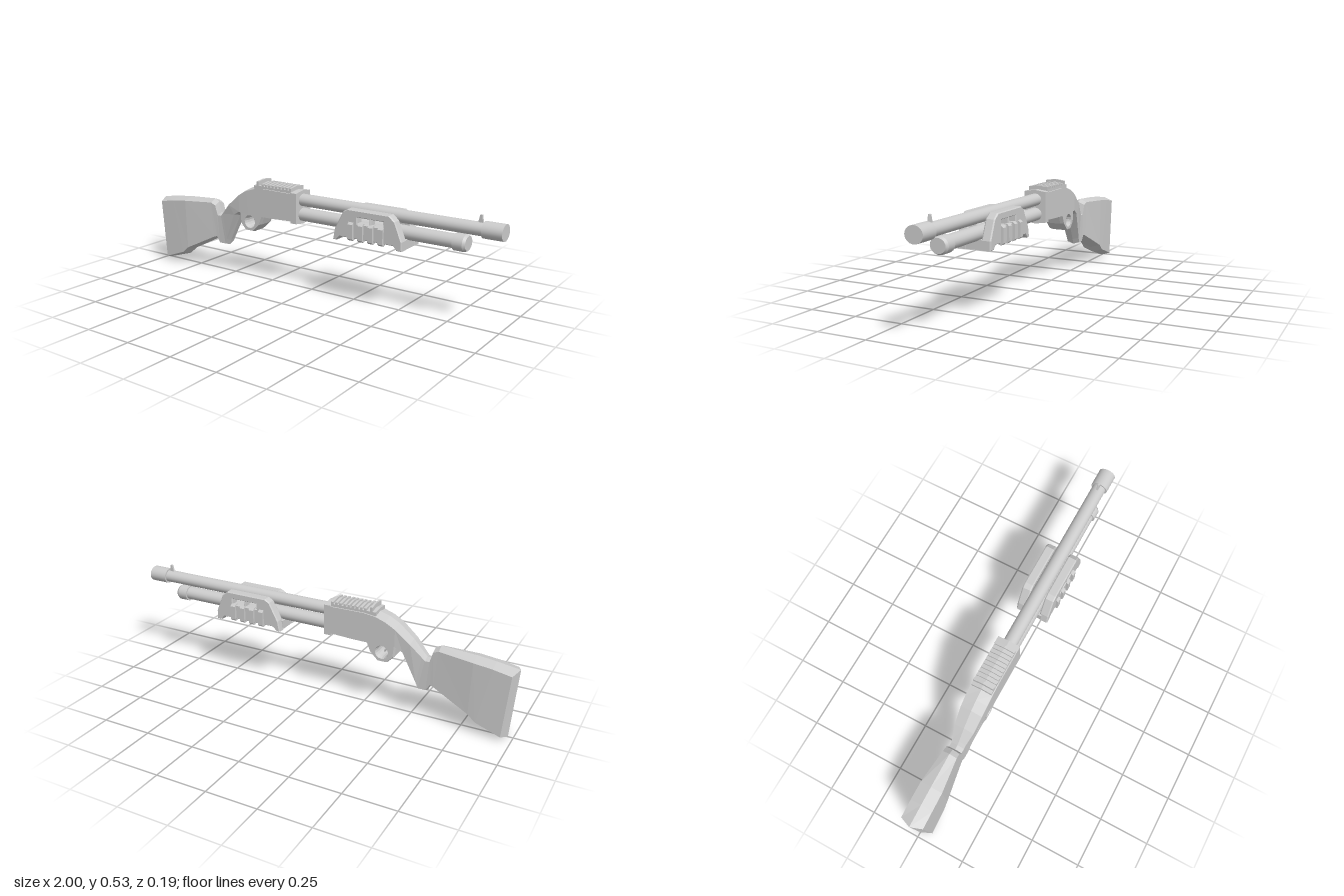
import * as THREE from 'three';

const material = new THREE.MeshStandardMaterial({ color: 0xcccccc, flatShading: true });
const smooth = new THREE.MeshStandardMaterial({ color: 0xcccccc });

function add(parent, name, geometry, mat = material) {
  const mesh = new THREE.Mesh(geometry, mat);
  mesh.name = name;
  parent.add(mesh);
  return mesh;
}

// Six-sided ridged sections: [topX, topY, bottomX, bottomY, halfWidth, topInset, bottomInset, sideShift]
function loft(stations) {
  const pos = [], index = [];
  for (const [tx, ty, bx, by, w, ti, bi, s = 0] of stations) {
    pos.push(tx, ty, 0, tx + s, ty - ti, w, bx + s, by + bi, w,
      bx, by, 0, bx + s, by + bi, -w, tx + s, ty - ti, -w);
  }
  const n = stations.length;
  for (let i = 0; i < n - 1; i++) {
    for (let j = 0; j < 6; j++) {
      const a = i * 6 + j, d = i * 6 + (j + 1) % 6, b = a + 6, c = d + 6;
      index.push(a, d, c, a, c, b);
    }
  }
  const e = (n - 1) * 6;
  index.push(0, 3, 2, 0, 2, 1, 0, 5, 4, 0, 4, 3);
  index.push(e, e + 2, e + 3, e, e + 1, e + 2, e, e + 4, e + 5, e, e + 3, e + 4);
  const g = new THREE.BufferGeometry();
  g.setAttribute('position', new THREE.Float32BufferAttribute(pos, 3));
  g.setIndex(index);
  const flat = g.toNonIndexed();
  flat.computeVertexNormals();
  return flat;
}

// Cylinder lying along x between x0 and x1
function rod(parent, name, x0, x1, y, r0, r1 = r0) {
  const g = new THREE.CylinderGeometry(r1, r0, x1 - x0, 28);
  g.rotateZ(-Math.PI / 2).scale(1, 0.92, 1.04).translate((x0 + x1) / 2, y, 0);
  return add(parent, name, g, smooth);
}

function block(parent, name, x0, x1, y0, y1, z0, z1) {
  const g = new THREE.BoxGeometry(x1 - x0, y1 - y0, z1 - z0);
  g.translate((x0 + x1) / 2, (y0 + y1) / 2, (z0 + z1) / 2);
  return add(parent, name, g);
}

function shapeOf(points) {
  return new THREE.Shape(points.map(([x, y]) => new THREE.Vector2(x, y)));
}

export function createModel() {
  const model = new THREE.Group();
  model.name = 'pumpShotgun';

  // Buttstock, wrist and receiver in one ridged body
  add(model, 'stockAndReceiver', loft([
    [-1, 0.352, -0.975, 0.003, 0.057, 0.016, 0.02, 0.022],
    [-0.89, 0.368, -0.83, 0.048, 0.057, 0.016, 0.02],
    [-0.8, 0.378, -0.793, 0.082, 0.056, 0.016, 0.018],
    [-0.63, 0.388, -0.615, 0.172, 0.037, 0.016, 0.014],
    [-0.603, 0.374, -0.597, 0.18, 0.035, 0.014, 0.012],
    [-0.588, 0.318, -0.577, 0.148, 0.034, 0.01, 0.012],
    [-0.565, 0.318, -0.538, 0.148, 0.034, 0.01, 0.012],
    [-0.55, 0.333, -0.527, 0.175, 0.036, 0.01, 0.012],
    [-0.495, 0.393, -0.46, 0.322, 0.05, 0.012, 0.012],
    [-0.42, 0.457, -0.42, 0.348, 0.056, 0.014, 0.008],
    [-0.37, 0.483, -0.36, 0.346, 0.057, 0.012, 0.006],
    [-0.32, 0.498, -0.28, 0.344, 0.057, 0.01, 0.006],
    [-0.26, 0.505, -0.2, 0.345, 0.057, 0.009, 0.006],
    [-0.085, 0.503, -0.085, 0.35, 0.057, 0.009, 0.006],
  ]));
  add(model, 'receiverCollar', loft([
    [-0.088, 0.507, -0.088, 0.338, 0.058, 0.008, 0.008],
    [-0.053, 0.507, -0.053, 0.338, 0.058, 0.008, 0.008],
  ]));

  // Trigger guard with a round opening, and the trigger in it
  const guard = shapeOf([[-0.415, 0.352], [-0.41, 0.297], [-0.38, 0.266],
    [-0.335, 0.266], [-0.296, 0.304], [-0.275, 0.352]]);
  const opening = new THREE.Path();
  opening.absarc(-0.354, 0.312, 0.034, 0, Math.PI * 2, true);
  guard.holes.push(opening);
  const guardGeometry = new THREE.ExtrudeGeometry(guard, {
    depth: 0.06, bevelThickness: 0.02, bevelSize: 0.004, bevelSegments: 1, curveSegments: 8 });
  add(model, 'triggerGuard', guardGeometry.translate(0, 0, -0.03));
  const pull = new THREE.QuadraticBezierCurve3(new THREE.Vector3(-0.362, 0.35, 0),
    new THREE.Vector3(-0.372, 0.315, 0), new THREE.Vector3(-0.348, 0.298, 0));
  add(model, 'trigger', new THREE.TubeGeometry(pull, 8, 0.005, 6), smooth);

  // Sight rail: base, cross teeth and a raised rear sight
  const rail = new THREE.Group();
  rail.name = 'topRail';
  model.add(rail);
  const ridge = (name, x0, x1, y0, y1, w) => add(rail, name, loft([
    [x0, y1, x0, y0, w, 0.007, 0], [x1, y1, x1, y0, w, 0.007, 0]]));
  ridge('railBase', -0.32, -0.088, 0.49, 0.515, 0.052);
  for (let i = 0; i < 9; i++) {
    const x = -0.272 + i * 0.0215;
    ridge('railTooth', x, x + 0.012, 0.5, 0.526, 0.052);
  }
  ridge('rearSight', -0.302, -0.29, 0.5, 0.536, 0.052);

  // Barrel, muzzle and front sight
  rod(model, 'barrel', -0.06, 0.92, 0.459, 0.033);
  rod(model, 'muzzle', 0.905, 1, 0.459, 0.0415);
  add(model, 'frontSight', loft([
    [0.882, 0.524, 0.872, 0.482, 0.005, 0.002, 0],
    [0.891, 0.524, 0.898, 0.482, 0.005, 0.002, 0],
  ]));

  // Magazine tube and its stepped cap
  rod(model, 'magazineTube', -0.06, 0.79, 0.386, 0.0355);
  rod(model, 'magazineCap', 0.773, 0.822, 0.385, 0.0435);
  rod(model, 'magazineCapEnd', 0.822, 0.834, 0.385, 0.0435, 0.036);

  // Pump handle: two windowed cheeks, floor and ribs
  const pump = new THREE.Group();
  pump.name = 'pumpHandle';
  model.add(pump);
  const outline = [[0.18, 0.316], [0.2, 0.316], [0.22, 0.336], [0.505, 0.336], [0.522, 0.316],
    [0.55, 0.316], [0.55, 0.36], [0.512, 0.45], [0.482, 0.474], [0.262, 0.474], [0.237, 0.46], [0.19, 0.37]];
  const cheek = shapeOf(outline);
  for (const x of [0.313, 0.388]) {
    cheek.holes.push(new THREE.Path([[x, 0.412], [x, 0.44], [x + 0.065, 0.44], [x + 0.065, 0.412]]
      .map(([px, py]) => new THREE.Vector2(px, py))));
  }
  for (const side of [1, -1]) {
    const g = new THREE.ExtrudeGeometry(cheek, {
      depth: 0.035, bevelThickness: 0.006, bevelSize: 0.004, bevelOffset: -0.004, bevelSegments: 1 });
    add(pump, side > 0 ? 'leftCheek' : 'rightCheek', g.translate(0, 0, side > 0 ? 0.044 : -0.079));
    for (let i = 0; i < 4; i++) {
      const x = 0.283 + i * 0.054;
      // Rib with sloped ends
      const rib = shapeOf([[0.07, 0.33], [0.085, 0.326], [0.097, 0.336], [0.097, 0.405], [0.085, 0.415], [0.07, 0.415]]);
      const ribGeometry = new THREE.ExtrudeGeometry(rib, { depth: 0.026, bevelEnabled: false });
      ribGeometry.translate(0, 0, -0.013).rotateY(side > 0 ? -Math.PI / 2 : Math.PI / 2).translate(x, 0, 0);
      add(pump, 'gripRib', ribGeometry);
    }
  }
  block(pump, 'pumpFloor', 0.21, 0.515, 0.336, 0.362, -0.05, 0.05);
  block(pump, 'pumpRearLip', 0.182, 0.205, 0.317, 0.362, -0.05, 0.05);
  block(pump, 'pumpFrontLip', 0.518, 0.549, 0.317, 0.362, -0.05, 0.05);

  return model;
}
